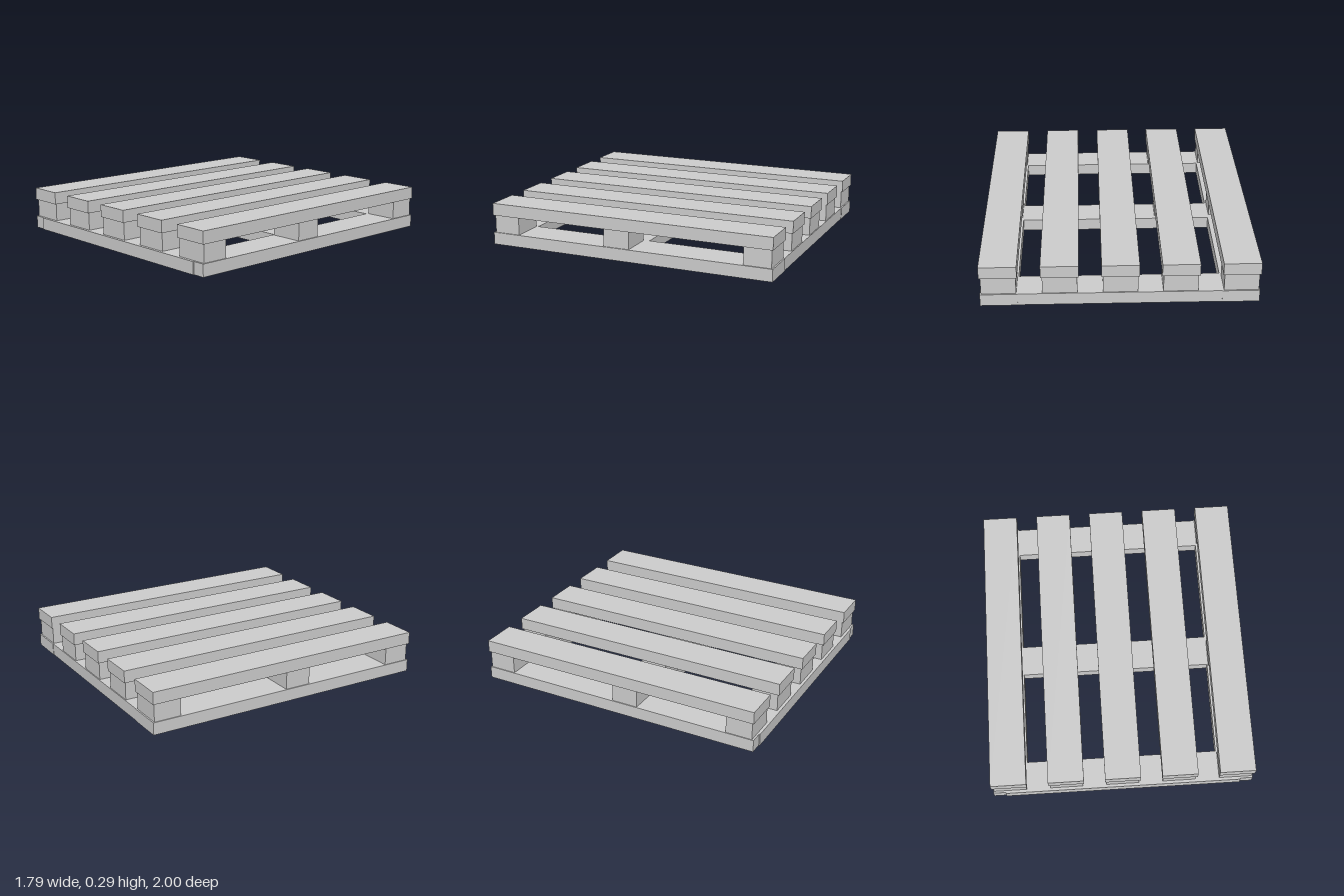
import * as THREE from 'three';

const material = new THREE.MeshStandardMaterial({ color: 0xcccccc, flatShading: true });

// Box given by its extents along each axis
function board(name, [x0, x1], [y0, y1], [z0, z1]) {
  const mesh = new THREE.Mesh(new THREE.BoxGeometry(x1 - x0, y1 - y0, z1 - z0), material);
  mesh.position.set((x0 + x1) / 2, (y0 + y1) / 2, (z0 + z1) / 2);
  mesh.name = name;
  return mesh;
}

export function createModel() {
  const pallet = new THREE.Group();
  pallet.name = 'pallet';

  const base = [0, 0.083], middle = [0.083, 0.203], deck = [0.203, 0.286];

  // Bottom frame: two side runners joined by three cross boards
  pallet.add(board('leftRunner', [0.655, 0.895], base, [-1, 0.993]));
  pallet.add(board('rightRunner', [-0.895, -0.655], base, [-1, 0.993]));
  pallet.add(board('frontCrossBoard', [-0.81, 0.81], base, [0.79, 1]));
  pallet.add(board('middleCrossBoard', [-0.655, 0.655], base, [-0.06, 0.15]));
  pallet.add(board('backCrossBoard', [-0.655, 0.655], base, [-0.997, -0.79]));

  // Five deck planks, each carried by three spacer blocks
  const blockRows = [[-0.99, -0.805], [-0.02, 0.16], [0.8, 0.98]];
  for (const x of [-0.777, -0.389, -0.003, 0.385, 0.775]) {
    pallet.add(board('deckPlank', [x - 0.121, x + 0.121], deck, [-1, 0.993]));
    for (const row of blockRows) {
      pallet.add(board('spacerBlock', [x - 0.112, x + 0.112], middle, row));
    }
  }
  return pallet;
}
